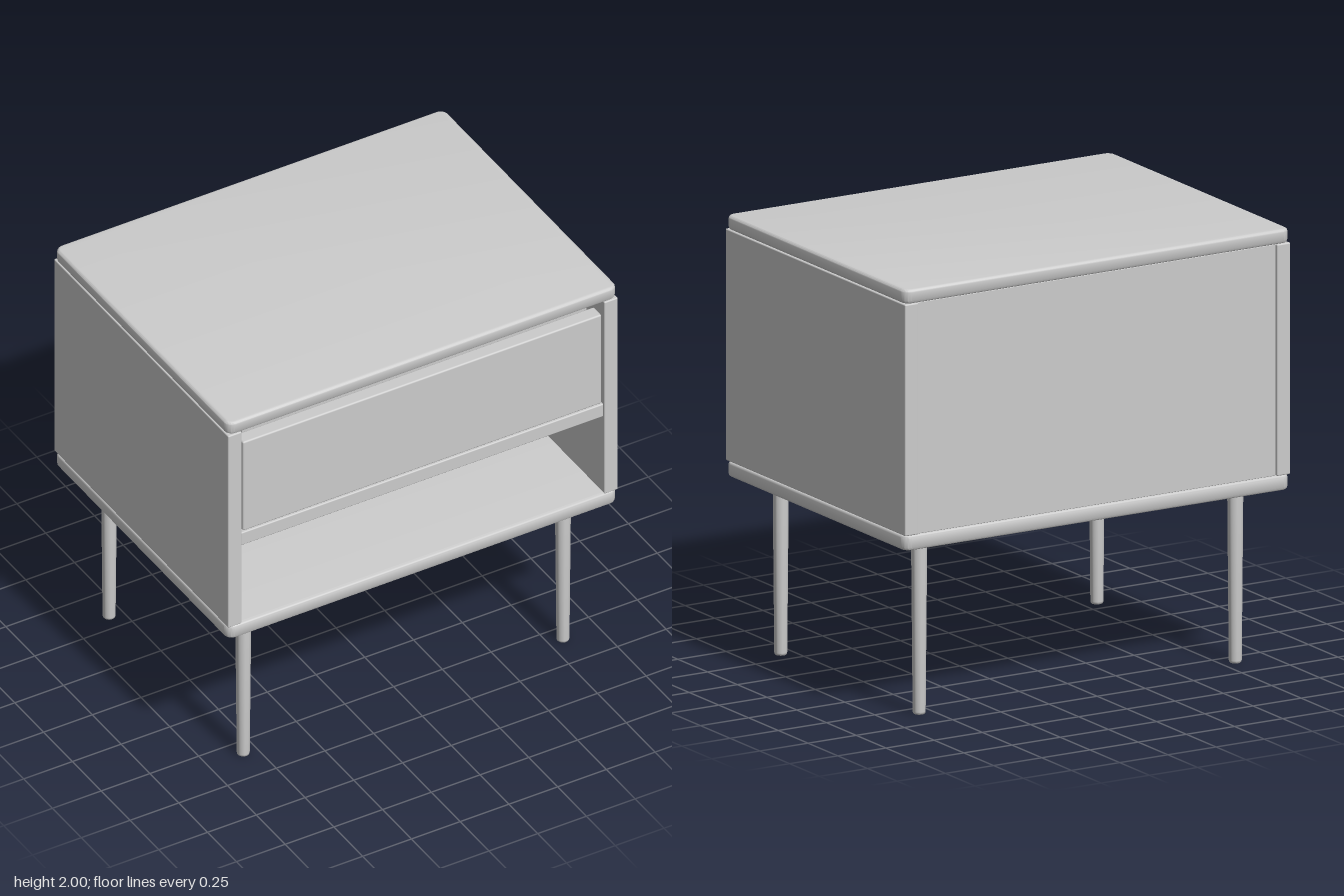
import * as THREE from 'three';
import { toCreasedNormals } from 'three/addons/utils/BufferGeometryUtils.js';
import { RoundedBoxGeometry } from 'three/addons/geometries/RoundedBoxGeometry.js';

const W = 2, D = 1.514;          // overall width and depth
const FLOOR = 0.875, CEIL = 1.935; // inside faces of bottom and top slabs

export function createModel() {
  const model = new THREE.Group();
  model.name = 'nightstand';
  const grey = new THREE.MeshStandardMaterial({ color: 0xcccccc });
  grey.name = 'plain grey';

  function add(name, geometry, x, y, z, parent = model) {
    const mesh = new THREE.Mesh(geometry, grey);
    mesh.name = name;
    mesh.position.set(x, y, z);
    parent.add(mesh);
    return mesh;
  }

  // Softly edged board given by its min and max corners
  function board(name, [x0, y0, z0], [x1, y1, z1], radius = 0.006, parent = model) {
    const g = new RoundedBoxGeometry(x1 - x0, y1 - y0, z1 - z0, 2, radius);
    return add(name, g, (x0 + x1) / 2, (y0 + y1) / 2, (z0 + z1) / 2, parent);
  }

  // Horizontal slab with rounded corners in plan and rounded edges
  function slab(name, y0, y1) {
    const bevel = 0.014, r = 0.026;
    const a = W / 2 - bevel, b = D / 2 - bevel;
    const s = new THREE.Shape();
    s.moveTo(-a + r, -b);
    s.lineTo(a - r, -b);
    s.absarc(a - r, -b + r, r, -Math.PI / 2, 0);
    s.lineTo(a, b - r);
    s.absarc(a - r, b - r, r, 0, Math.PI / 2);
    s.lineTo(-a + r, b);
    s.absarc(-a + r, b - r, r, Math.PI / 2, Math.PI);
    s.lineTo(-a, -b + r);
    s.absarc(-a + r, -b + r, r, Math.PI, Math.PI * 1.5);
    const g = new THREE.ExtrudeGeometry(s, {
      depth: y1 - y0 - 2 * bevel, bevelThickness: bevel, bevelSize: bevel,
      bevelSegments: 4, curveSegments: 6,
    });
    g.rotateX(-Math.PI / 2);
    add(name, toCreasedNormals(g, 0.6), 0, y0 + bevel, 0);
  }

  // Carcass
  slab('topSlab', CEIL, 2);
  slab('bottomSlab', 0.805, FLOOR);
  board('leftPanel', [0.93, FLOOR, -D / 2], [1, CEIL, D / 2]);
  board('rightPanel', [-1, FLOOR, -D / 2], [-0.93, CEIL, D / 2]);
  board('backPanel', [-0.93, FLOOR, -0.745], [0.93, CEIL, -0.695], 0.003);
  board('shelf', [-0.93, 1.3, -0.695], [0.93, 1.37, 0.75]);

  // Drawer: front plate and an open tray behind it
  const drawer = new THREE.Group();
  drawer.name = 'drawer';
  model.add(drawer);
  board('drawerFront', [-0.92, 1.377, 0.68], [0.92, 1.867, 0.75], 0.008, drawer);
  board('trayFront', [-0.885, 1.38, 0.64], [0.885, 1.9, 0.68], 0.003, drawer);
  board('trayBack', [-0.885, 1.38, -0.66], [0.885, 1.9, -0.62], 0.003, drawer);
  board('trayBottom', [-0.85, 1.38, -0.62], [0.85, 1.41, 0.64], 0.003, drawer);
  for (const s of [-1, 1]) {
    const side = new RoundedBoxGeometry(0.04, 0.52, 1.26, 2, 0.003);
    add(s > 0 ? 'trayLeft' : 'trayRight', side, s * 0.865, 1.64, 0.01, drawer);
  }

  // Tapered round legs with softened feet
  const profile = [[0, 0], [0.024, 0], [0.028, 0.004], [0.029, 0.012], [0.036, 0.81], [0, 0.81]]
    .map(([x, y]) => new THREE.Vector2(x, y));
  const leg = toCreasedNormals(new THREE.LatheGeometry(profile, 24), 0.7);
  for (const x of [-0.82, 0.82]) {
    for (const z of [-0.582, 0.582]) {
      add((z > 0 ? 'front' : 'back') + (x > 0 ? 'Left' : 'Right') + 'Leg', leg, x, 0, z);
    }
  }
  return model;
}
